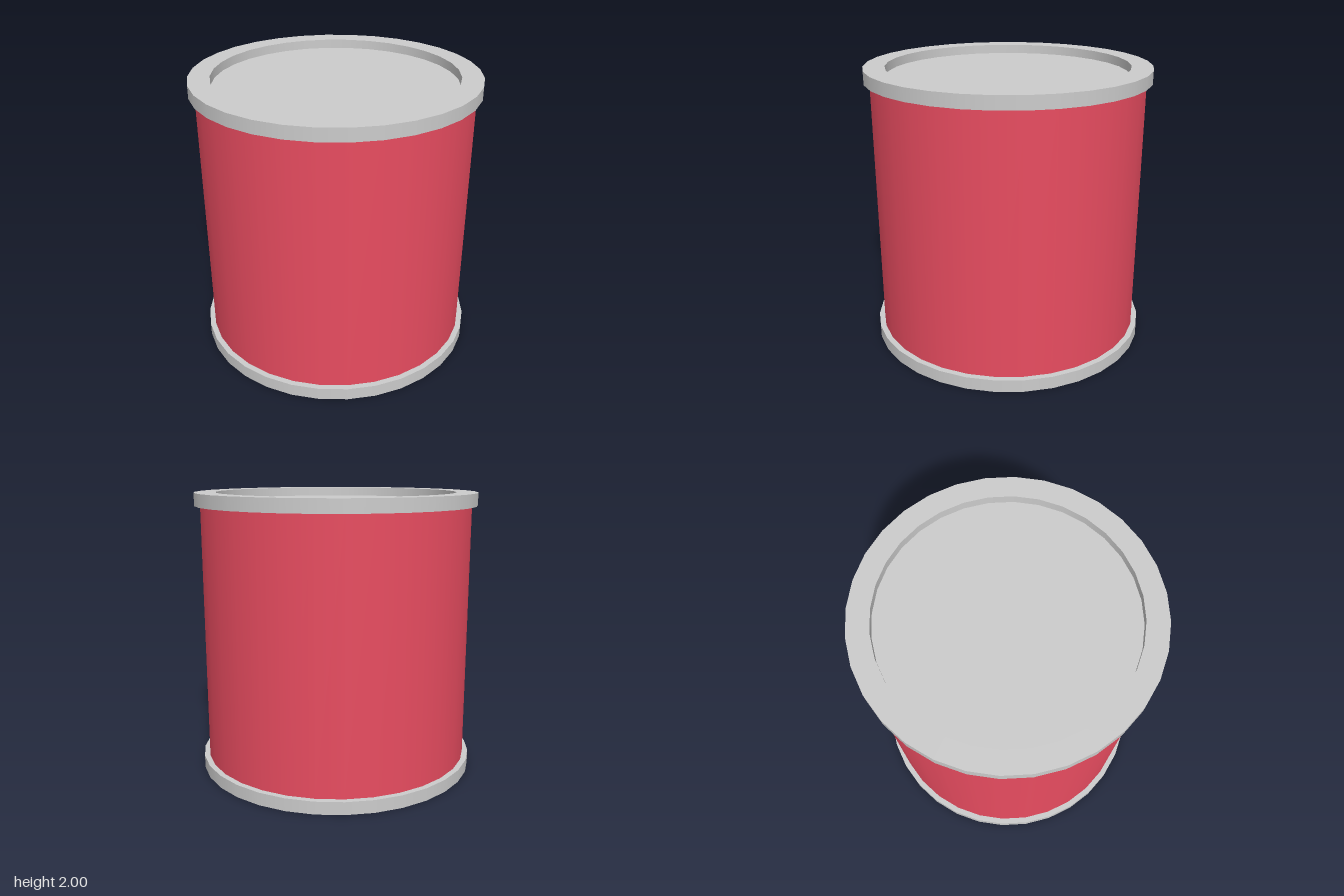
import * as THREE from 'three';
import { mergeGeometries } from 'three/addons/utils/BufferGeometryUtils.js';

const SIDES = 32;
const RIM_HEIGHT = 0.09;

// Lathe each profile segment on its own: smooth around the axis, sharp at the profile corners
function sharpLathe(profile) {
  const points = profile.map(([r, y]) => new THREE.Vector2(r, y));
  const bands = [];
  for (let i = 0; i < points.length - 1; i++) {
    bands.push(new THREE.LatheGeometry([points[i], points[i + 1]], SIDES));
  }
  return mergeGeometries(bands);
}

export function createModel() {
  const group = new THREE.Group();
  const metal = new THREE.MeshStandardMaterial({ color: 0xcccccc });
  const paint = new THREE.MeshStandardMaterial({ color: 0xe84c60 });

  function add(name, geometry, material, y) {
    const mesh = new THREE.Mesh(geometry, material);
    mesh.name = name;
    mesh.position.y = y;
    group.add(mesh);
  }

  // Painted wall between the two rims
  add('canBody', new THREE.CylinderGeometry(0.96, 0.96, 2 - 2 * RIM_HEIGHT, SIDES), paint, 1);

  // Flat base disc
  add('bottomRim', new THREE.CylinderGeometry(1, 1, RIM_HEIGHT, SIDES), metal, RIM_HEIGHT / 2);

  // Lid with a raised rim around a sunken panel
  const panelY = 0.025;
  const lid = sharpLathe([
    [0, 0], [1, 0], [1, RIM_HEIGHT], [0.85, RIM_HEIGHT], [0.85, panelY], [0, panelY],
  ]);
  add('lid', lid, metal, 2 - RIM_HEIGHT);

  return group;
}
